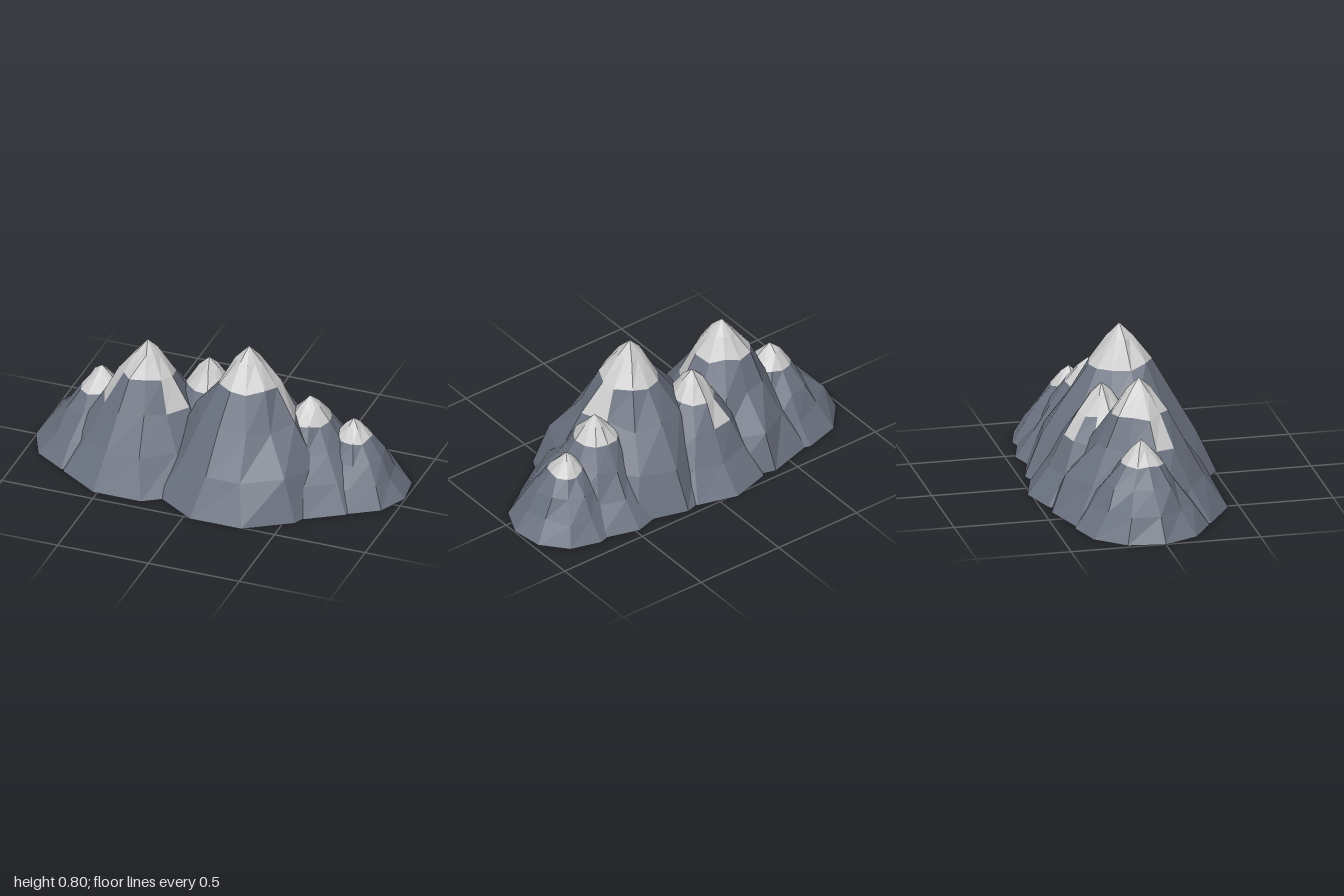
import * as THREE from 'three';

const SIDES = 11;
// height fraction and radius fraction of each ring, base to summit
const RINGS = [[0, 1], [0.26, 0.77], [0.52, 0.52], [0.745, 0.31], [0.9, 0.14]];
const SNOW_RING = 3;

// x, z, height, base radius, sides where snow runs one ring lower
const PEAKS = [
  { name: 'mainPeak', x: 0.18, z: 0.03, h: 0.80, r: 0.50, gullies: [2] },
  { name: 'secondPeak', x: -0.39, z: 0.0, h: 0.70, r: 0.46, gullies: [3, 7] },
  { name: 'rearPeak', x: -0.10, z: -0.13, h: 0.585, r: 0.39, gullies: [8, 10] },
  { name: 'leftPeak', x: 0.48, z: -0.065, h: 0.515, r: 0.385, gullies: [] },
  { name: 'leftFoothill', x: 0.70, z: -0.115, h: 0.40, r: 0.30, gullies: [] },
  { name: 'rightFoothill', x: -0.66, z: -0.05, h: 0.46, r: 0.35, gullies: [] },
];

// small seeded generator giving values in -1..1
function seeded(seed) {
  let s = seed;
  return () => {
    s = (s * 16807) % 2147483647;
    return (s / 2147483647) * 2 - 1;
  };
}

function facetMesh(points, material, name) {
  const geometry = new THREE.BufferGeometry().setFromPoints(points);
  geometry.computeVertexNormals();
  const mesh = new THREE.Mesh(geometry, material);
  mesh.name = name;
  return mesh;
}

function buildPeak({ name, x, z, h, r, gullies }, seed, rock, snow) {
  const rand = seeded(seed);
  for (let i = 0; i < 5; i++) rand();

  // rings of vertices: a regular base, rougher rings above it
  const rings = RINGS.map(([t, f], i) => {
    const ring = [];
    for (let k = 0; k < SIDES; k++) {
      const rough = i === 0 ? 0 : 1;
      const a = ((k + rough * 0.1 * rand()) / SIDES) * Math.PI * 2;
      const radius = r * f * (1 + rough * 0.09 * rand());
      const y = h * (t + rough * 0.02 * rand());
      ring.push(new THREE.Vector3(Math.sin(a) * radius, y, -Math.cos(a) * radius));
    }
    return ring;
  });

  const summit = new THREE.Vector3(0, h, 0);
  const centre = new THREE.Vector3(0, 0, 0);
  const rockPoints = [], snowPoints = [];
  for (let k = 0; k < SIDES; k++) {
    const n = (k + 1) % SIDES;
    rockPoints.push(centre, rings[0][k], rings[0][n]); // underside
    for (let i = 0; i < RINGS.length - 1; i++) {
      const snowy = i >= SNOW_RING || (i === SNOW_RING - 1 && gullies.includes(k));
      const [a, b, c, d] = [rings[i][k], rings[i][n], rings[i + 1][n], rings[i + 1][k]];
      (snowy ? snowPoints : rockPoints).push(a, d, b, b, d, c);
    }
    snowPoints.push(rings[RINGS.length - 1][k], summit, rings[RINGS.length - 1][n]);
  }

  const peak = new THREE.Group();
  peak.name = name;
  peak.add(facetMesh(rockPoints, rock, 'rockSlope'), facetMesh(snowPoints, snow, 'snowCap'));
  peak.position.set(x, 0, z);
  return peak;
}

export function createModel() {
  const rock = new THREE.MeshStandardMaterial({ color: 0x6b7280, flatShading: true });
  const snow = new THREE.MeshStandardMaterial({ color: 0xe0e0e0, flatShading: true });
  const group = new THREE.Group();
  group.name = 'mountainRange';
  PEAKS.forEach((peak, i) => group.add(buildPeak(peak, 1371 + i * 7919, rock, snow)));
  return group;
}
